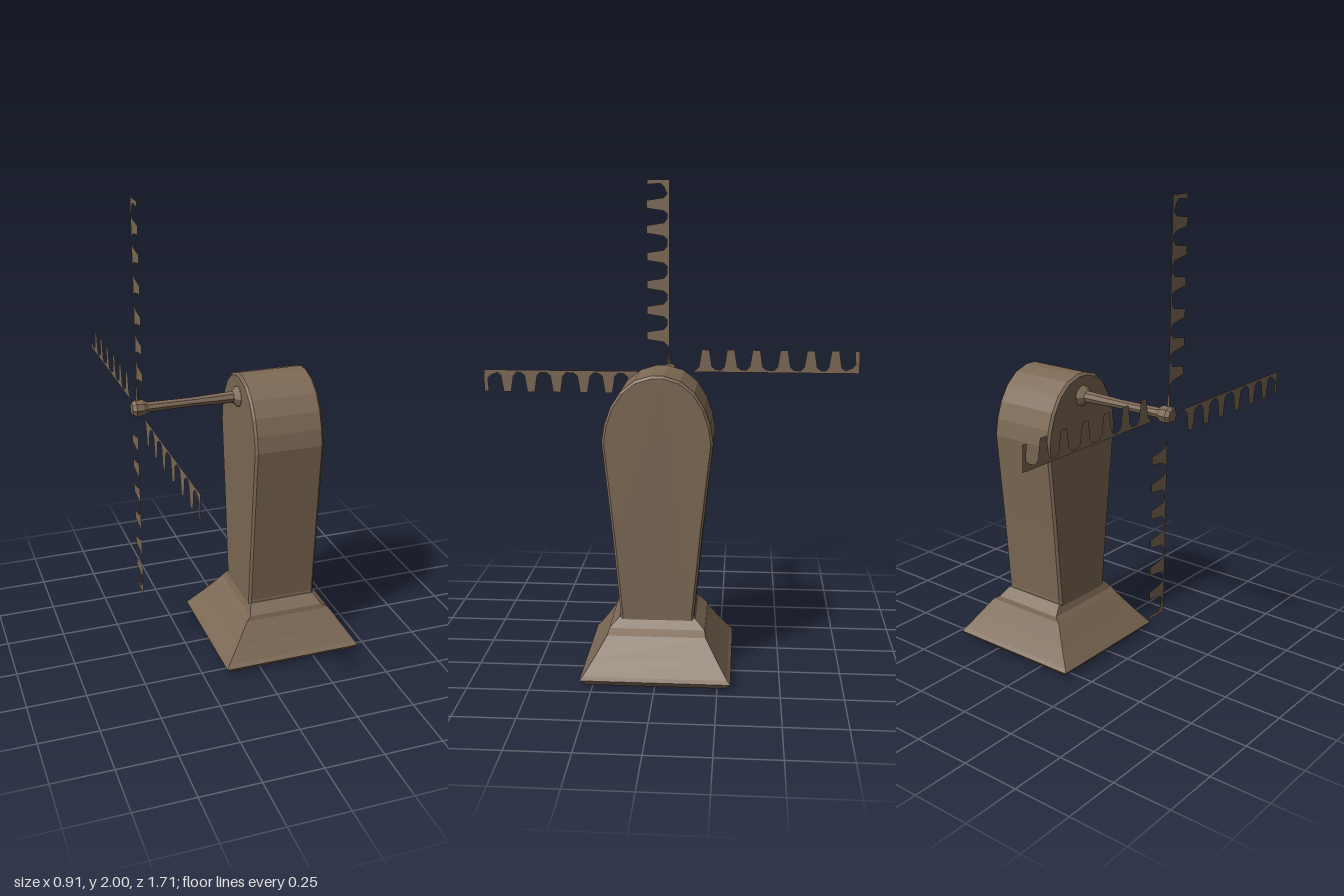
import * as THREE from 'three';

const wood = new THREE.MeshStandardMaterial({ color: 0x7d6955, flatShading: true });
const sheet = new THREE.MeshStandardMaterial({ color: 0x7d6955, side: THREE.DoubleSide });

function add(parent, name, geometry, material = wood) {
  const mesh = new THREE.Mesh(geometry, material);
  mesh.name = name;
  parent.add(mesh);
  return mesh;
}

// Closed loft through rectangles [y, xMin, xMax, zHalf], listed from bottom to top
function loftRects(sections) {
  const pos = [], index = [];
  for (const [y, x0, x1, z] of sections) pos.push(x0, y, z, x1, y, z, x1, y, -z, x0, y, -z);
  for (let s = 0; s < sections.length - 1; s++) {
    for (let i = 0; i < 4; i++) {
      const a = s * 4 + i, b = s * 4 + (i + 1) % 4;
      index.push(a, b, b + 4, a, b + 4, a + 4);
    }
  }
  const t = (sections.length - 1) * 4;
  index.push(0, 2, 1, 0, 3, 2, t, t + 1, t + 2, t, t + 2, t + 3);
  const g = new THREE.BufferGeometry();
  g.setAttribute('position', new THREE.Float32BufferAttribute(pos, 3));
  g.setIndex(index);
  const flat = g.toNonIndexed();
  flat.computeVertexNormals();
  return flat;
}

// Tower: tapered, round-topped outline in z-y, extruded along x
function towerGeometry() {
  const half = [[0.16, 0.18], [0.15, 0.25], [0.183, 0.6], [0.223, 0.97], [0.212, 1.04],
    [0.188, 1.11], [0.147, 1.175], [0.09, 1.22], [0.025, 1.24]];
  const outline = [...half, ...half.map(([z, y]) => [-z, y]).reverse()];
  const shape = new THREE.Shape(outline.map(([z, y]) => new THREE.Vector2(z, y)));
  const bevel = 0.01;
  const g = new THREE.ExtrudeGeometry(shape, {
    depth: 0.3 - 2 * bevel, bevelThickness: bevel, bevelSize: bevel, bevelOffset: -bevel, bevelSegments: 1,
  });
  g.rotateY(Math.PI / 2);
  g.translate(bevel, 0, 0);
  return g;
}

// Blade: thin comb-like sheet, running up y with its teeth towards +z
function bladeGeometry() {
  const pts = [[0, 0.11], [0.004, 0.11]];
  for (const r of [0.165, 0.28, 0.395, 0.52, 0.64, 0.75]) {
    pts.push([0.01, r - 0.045], [0.025, r - 0.03], [0.102, r - 0.018],
      [0.102, r + 0.016], [0.025, r + 0.028], [0.012, r + 0.045]);
  }
  pts.push([0.025, 0.825], [0.04, 0.84], [0.1, 0.835], [0.1, 0.857], [0, 0.857]);
  const g = new THREE.ShapeGeometry(new THREE.Shape(pts.map(([t, r]) => new THREE.Vector2(t, r))));
  g.rotateY(-Math.PI / 2);
  return g;
}

export function createModel() {
  const model = new THREE.Group();
  model.name = 'windmill';

  // Flared square foot with a small step on the back side
  add(model, 'base', loftRects([
    [0, -0.13, 0.43, 0.28], [0.025, -0.152, 0.453, 0.303], [0.04, -0.14, 0.445, 0.29],
    [0.1, -0.09, 0.405, 0.25], [0.18, -0.028, 0.352, 0.2], [0.2, -0.01, 0.32, 0.195],
    [0.24, 0.005, 0.295, 0.155],
  ]));

  add(model, 'tower', towerGeometry());

  // Axle, flared at the wall and ending in a hub
  const profile = [[0, -0.02], [0.05, -0.02], [0.045, 0.005], [0.026, 0.025], [0.02, 0.2], [0.022, 0.39],
    [0.035, 0.41], [0.037, 0.44], [0.026, 0.455], [0, 0.455]];
  const axle = new THREE.LatheGeometry(profile.map(([r, d]) => new THREE.Vector2(r, d)), 8);
  axle.rotateZ(Math.PI / 2);
  axle.translate(0, 1.145, 0);
  add(model, 'axle', axle);

  // Four sails around the hub
  const sails = new THREE.Group();
  sails.name = 'sails';
  sails.position.set(-0.432, 1.143, 0);
  const blade = bladeGeometry();
  for (let i = 0; i < 4; i++) add(sails, 'sail' + (i + 1), blade, sheet).rotation.x = i * Math.PI / 2;
  // Thin spike joining the hub to the upper sail
  const spike = new THREE.ConeGeometry(0.008, 0.12, 4);
  spike.translate(0, 0.08, 0);
  add(sails, 'spike', spike);
  model.add(sails);

  return model;
}
